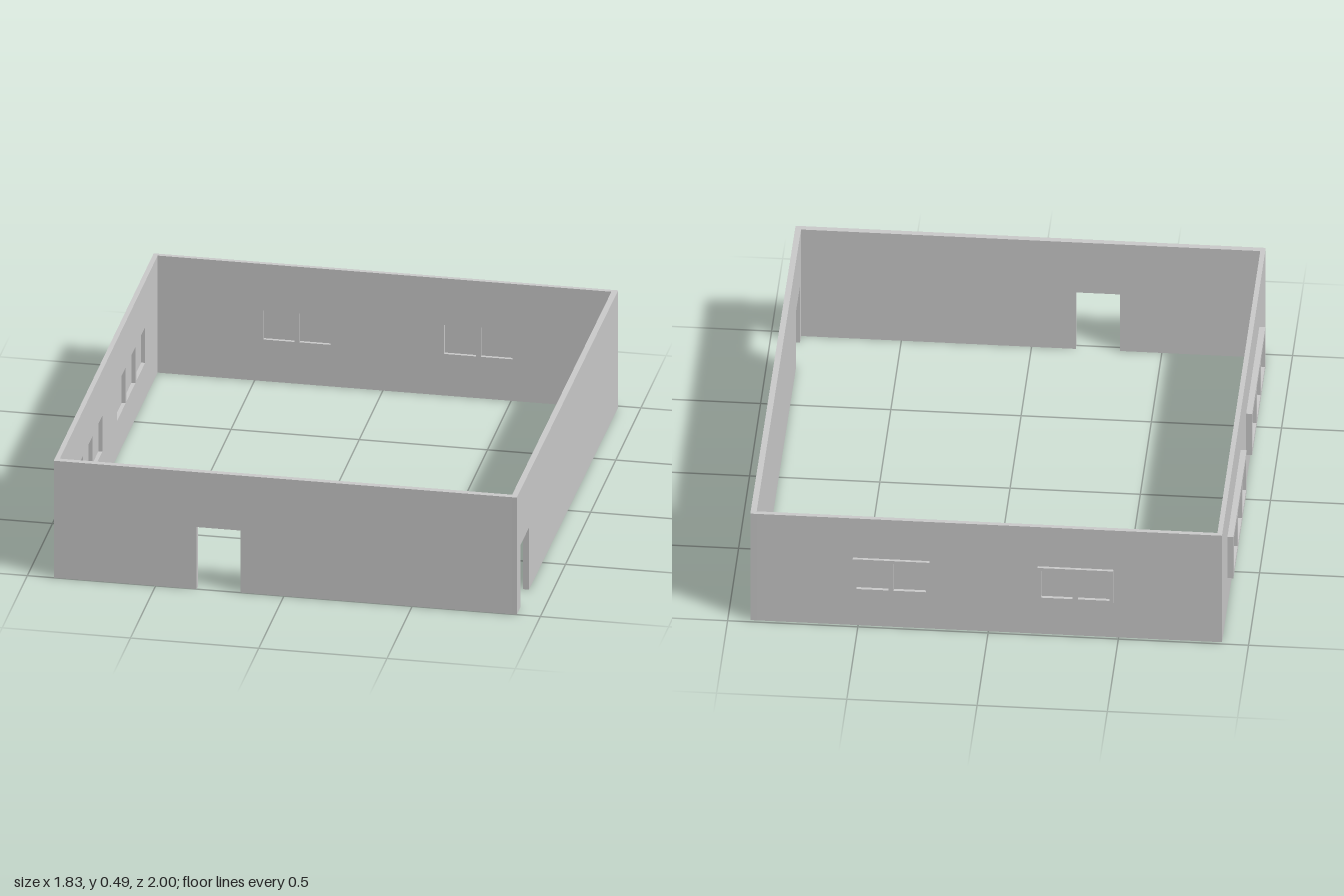
import * as THREE from 'three';

const HEIGHT = 0.49;
const DOOR_HEIGHT = 0.26;
const material = new THREE.MeshStandardMaterial({ color: 0xcccccc, flatShading: true });

// Closed rectangular outline
function rect(kind, u0, u1, y0, y1) {
  const r = new kind();
  r.moveTo(u0, y0);
  r.lineTo(u1, y0);
  r.lineTo(u1, y1);
  r.lineTo(u0, y1);
  r.closePath();
  return r;
}

function extrude(name, shape, depth, z = 0) {
  const geometry = new THREE.ExtrudeGeometry(shape, { depth, bevelEnabled: false });
  geometry.translate(0, 0, z);
  const mesh = new THREE.Mesh(geometry, material);
  mesh.name = name;
  return mesh;
}

// Evenly spaced pane openings of one window
function panes({ u0, u1, y0, y1, count, border, bar }) {
  const width = (u1 - u0 - 2 * border - (count - 1) * bar) / count;
  return Array.from({ length: count }, (_, i) => {
    const start = u0 + border + i * (width + bar);
    return rect(THREE.Path, start, start + width, y0 + border, y1 - border);
  });
}

// Wall drawn in (u, y) and extruded along local z, with an optional door and windows
function makeWall(name, u0, u1, thickness, { door, windows = [], frameZ = 0, frameDepth = 0, glassZ = 0 } = {}) {
  const group = new THREE.Group();
  group.name = name;

  const shape = new THREE.Shape();
  shape.moveTo(u0, 0);
  if (door) {
    shape.lineTo(door[0], 0);
    shape.lineTo(door[0], DOOR_HEIGHT);
    shape.lineTo(door[1], DOOR_HEIGHT);
    shape.lineTo(door[1], 0);
  }
  shape.lineTo(u1, 0);
  shape.lineTo(u1, HEIGHT);
  shape.lineTo(u0, HEIGHT);
  shape.closePath();
  for (const w of windows) shape.holes.push(...panes(w));
  group.add(extrude(name + 'Panel', shape, thickness));

  for (const w of windows) {
    // Raised outer frame with mullions
    const frame = rect(THREE.Shape, w.u0, w.u1, w.y0, w.y1);
    frame.holes.push(...panes(w));
    group.add(extrude('windowFrame', frame, frameDepth, frameZ));

    // Glass sheet set inside the wall
    const b = w.border;
    const glass = new THREE.Mesh(
      new THREE.BoxGeometry(w.u1 - w.u0 - 2 * b, w.y1 - w.y0 - 2 * b, 0.003), material);
    glass.position.set((w.u0 + w.u1) / 2, (w.y0 + w.y1) / 2, glassZ);
    glass.name = 'windowGlass';
    group.add(glass);
  }
  return group;
}

export function createModel() {
  const model = new THREE.Group();
  model.name = 'walledRoom';

  // Front wall with doorway
  const front = makeWall('frontWall', -0.897, 0.887, 0.024, { door: [-0.34, -0.17] });
  front.position.z = 0.976;

  // Back wall with two double windows
  const small = { y0: 0.16, y1: 0.31, count: 2, border: 0.014, bar: 0.02 };
  const back = makeWall('backWall', -0.897, 0.892, 0.018, {
    windows: [{ u0: -0.48, u1: -0.19, ...small }, { u0: 0.225, u1: 0.52, ...small }],
    frameZ: -0.012, frameDepth: 0.012, glassZ: 0.003,
  });
  back.position.z = -0.988;

  // Side wall with two triple windows
  const large = { y0: 0.13, y1: 0.32, count: 3, border: 0.02, bar: 0.02 };
  const side = makeWall('rightWall', -0.97, 0.976, 0.019, {
    windows: [{ u0: -0.74, u1: -0.14, ...large }, { u0: 0.11, u1: 0.71, ...large }],
    frameZ: 0.019, frameDepth: 0.023, glassZ: 0.017,
  });
  side.rotation.y = -Math.PI / 2;
  side.position.x = -0.878;

  // Opposite side wall with doorway, very slightly out of square
  const doorSide = makeWall('leftWall', -0.988, 1, 0.023, { door: [0.76, 0.93] });
  doorSide.rotation.y = -Math.PI / 2 - 0.003;
  doorSide.position.x = 0.911;

  model.add(front, back, side, doorSide);
  return model;
}
